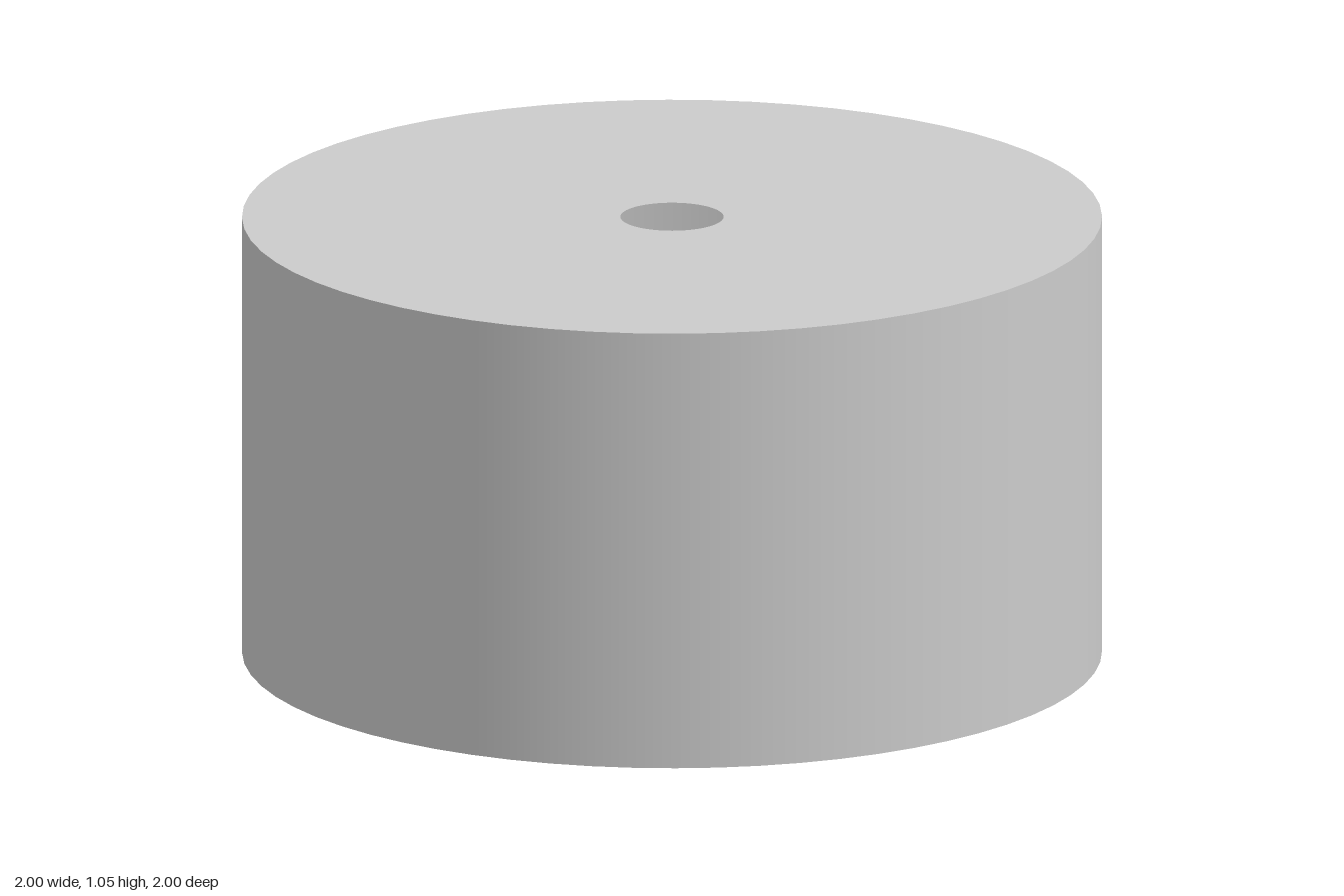
import * as THREE from 'three';

const HEIGHT = 1.05, RADIUS = 1, HOLE = 0.12, SEGMENTS = 64;

export function createModel() {
  const group = new THREE.Group();
  const material = new THREE.MeshStandardMaterial({ color: 0xcccccc, side: THREE.DoubleSide });

  const add = (name, geometry, y) => {
    const mesh = new THREE.Mesh(geometry, material);
    mesh.name = name;
    mesh.position.y = y;
    group.add(mesh);
  };
  const flat = (geometry) => geometry.rotateX(-Math.PI / 2);

  // Thin drum wall, open at the bottom
  add('drumWall', new THREE.CylinderGeometry(RADIUS, RADIUS, HEIGHT, SEGMENTS, 1, true), HEIGHT / 2);

  // Lid with a small central hole
  add('lid', flat(new THREE.RingGeometry(HOLE, RADIUS, SEGMENTS)), HEIGHT);

  // Thin disc hanging inside the drum
  add('innerDisc', flat(new THREE.CircleGeometry(0.517, SEGMENTS)), 0.33);

  return group;
}
